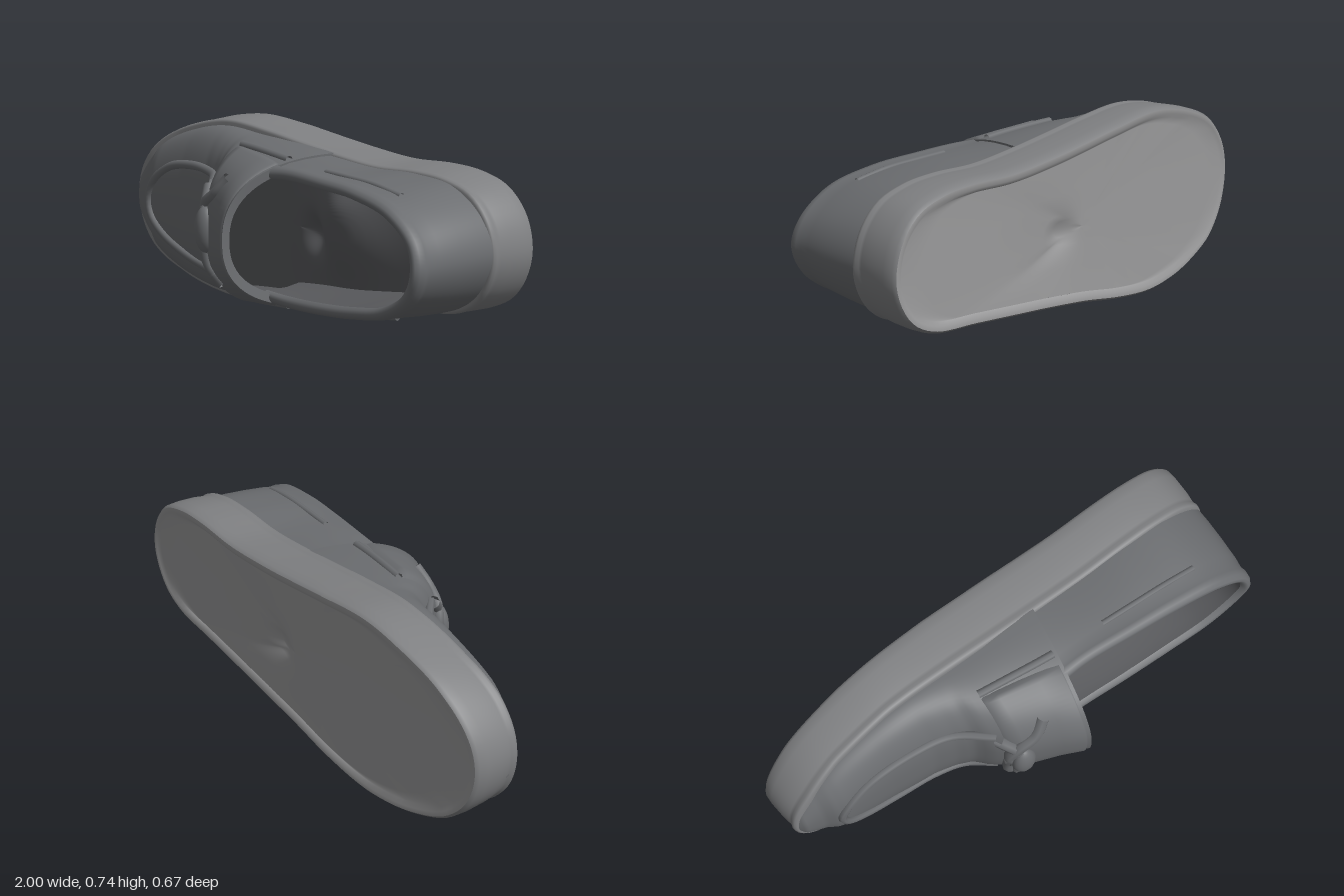
import * as THREE from 'three';

const paint = color => new THREE.MeshStandardMaterial({ color, side: THREE.DoubleSide });
const upperMat = paint(0x6b6d70), soleMat = paint(0x808183), outsoleMat = paint(0x9a9a9b), liningMat = paint(0x5a5b5e);

// Surface from a rule f(i, j) -> [x, y, z]; loop closes it in i
function grid(nu, nv, f, loop = false) {
  const pos = [], idx = [], cols = loop ? nu : nu + 1;
  for (let j = 0; j <= nv; j++) for (let i = 0; i < cols; i++) pos.push(...f(i, j));
  for (let j = 0; j < nv; j++) for (let i = 0; i < nu; i++) {
    const a = j * cols + i, b = j * cols + (i + 1) % cols, c = a + cols, d = b + cols;
    idx.push(a, b, d, a, d, c);
  }
  const g = new THREE.BufferGeometry();
  g.setAttribute('position', new THREE.Float32BufferAttribute(pos, 3));
  g.setIndex(idx);
  g.computeVertexNormals();
  return g;
}

// Linear lookup in [[x, value], ...]
function lookup(table, x) {
  if (x <= table[0][0]) return table[0][1];
  for (let i = 1; i < table.length; i++) {
    const [x0, y0] = table[i - 1], [x1, y1] = table[i];
    if (x <= x1) return y0 + (y1 - y0) * (x - x0) / (x1 - x0);
  }
  return table[table.length - 1][1];
}

const spline = (pts, closed = false) =>
  new THREE.CatmullRomCurve3(pts.map(([x, y, z = 0]) => new THREE.Vector3(x, y, z)), closed, 'centripetal');

// Sole outline, counterclockwise from the toe
const N = 160;
const outline = spline([
  [-1, 0.35], [-0.965, 0.22], [-0.87, 0.115], [-0.7, 0.04], [-0.5, 0.004], [-0.38, 0.004], [-0.2, 0.03], [0, 0.07],
  [0.2, 0.1], [0.4, 0.125], [0.6, 0.15], [0.8, 0.175], [0.91, 0.23], [0.975, 0.32], [0.997, 0.42], [0.965, 0.54],
  [0.88, 0.63], [0.75, 0.67], [0.6, 0.678], [0.4, 0.668], [0.2, 0.68], [0, 0.7], [-0.2, 0.722], [-0.43, 0.736],
  [-0.6, 0.71], [-0.8, 0.64], [-0.91, 0.56], [-0.98, 0.46],
], true).getSpacedPoints(N).slice(0, N);

const normals = outline.map((p, i) => {
  const a = outline[(i + N - 1) % N], b = outline[(i + 1) % N];
  return new THREE.Vector2(b.y - a.y, a.x - b.x).normalize();
});

const soleBottom = x => lookup([[-1, -0.27], [-0.85, -0.295], [-0.6, -0.318], [-0.2, -0.337], [0.1, -0.34], [1, -0.33]], x);
const soleTop = x => lookup([[-1, -0.08], [-0.9, -0.085], [-0.75, -0.11], [-0.5, -0.125], [1, -0.12]], x);
const bump = (x, y, cx, cy, r) => Math.exp(-((x - cx) ** 2 + (y - cy) ** 2) / (r * r));

// Centre and half width of the upper at x
function span(x) {
  let lo = 9, hi = -9;
  outline.forEach((p, i) => {
    const q = outline[(i + 1) % N];
    if ((p.x - x) * (q.x - x) > 0 || p.x === q.x) return;
    const y = p.y + (q.y - p.y) * (x - p.x) / (q.x - p.x);
    lo = Math.min(lo, y); hi = Math.max(hi, y);
  });
  return [(lo + hi) / 2, (hi - lo) / 2 - 0.03 + 0.013 * THREE.MathUtils.smoothstep(x, -0.3, 0)];
}

// Arched cross-section of the vamp
const BASE = -0.14, P = 2.4;
const crown = x => lookup([
  [-0.98, -0.085], [-0.955, -0.06], [-0.88, -0.043], [-0.84, -0.018], [-0.8, -0.008], [-0.6, 0.005], [-0.42, 0.028],
  [-0.34, 0.055], [-0.28, 0.09], [-0.24, 0.145], [-0.18, 0.2], [-0.1, 0.232], [0, 0.288], [0.075, 0.335],
], x);
function vampPoint(x, s, off = 0) {
  const [c, w] = span(x), a = s * Math.PI / 2, sn = Math.sin(a);
  const h = Math.pow(Math.max(0, Math.cos(a)), 2 / P);
  const slant = 0.09 * (1 - h) * THREE.MathUtils.smoothstep(x, -0.2, 0.07);
  return [x + slant, c + (w + off) * Math.sign(sn) * Math.pow(Math.abs(sn), 2 / P), BASE + (crown(x) - BASE + off) * h];
}
function onVamp(x, y, lift = 0) {
  const [c, w] = span(x), f = Math.min(1, Math.abs(y - c) / w);
  return [x, y, BASE + (crown(x) - BASE) * Math.pow(1 - Math.pow(f, P), 1 / P) + lift];
}

export function createModel() {
  const group = new THREE.Group();
  const add = (name, geo, mat = upperMat) => {
    const m = new THREE.Mesh(geo, mat);
    m.name = name;
    group.add(m);
    return m;
  };
  const cord = (name, pts, r) => add(name, new THREE.TubeGeometry(spline(pts), 64, r, 8));

  // Rings of the sole: [scale, inset, height fraction]
  const soleRing = ([s, inset, k], i) => {
    const p = outline[i], n = normals[i];
    const x = (p.x - n.x * inset) * s, y = 0.37 + (p.y - n.y * inset - 0.37) * s;
    return [x, y, THREE.MathUtils.lerp(soleBottom(x), soleTop(x), k)];
  };

  // Outsole, recessed inside its lip and dented under the instep
  const under = [
    [0.001, 0, 0.08], [0.06, 0, 0.08], [0.13, 0, 0.08], [0.22, 0, 0.08], [0.5, 0, 0.07], [0.85, 0, 0.06],
    [1, 0.045, 0.05], [1, 0.03, 0], [1, 0.012, 0],
  ];
  add('outsole', grid(N, under.length - 1, (i, j) => {
    const [x, y, z] = soleRing(under[j], i);
    return [x, y, z + 0.035 * bump(x, y, 0.12, 0.36, 0.07)];
  }, true), outsoleMat);

  // Sole edge with a soft welt
  const edge = [
    [1, 0.012, 0], [1, 0.002, 0.06], [1, 0, 0.25], [1, 0.004, 0.6], [1, 0.01, 0.78],
    [1, 0.011, 0.84], [1, 0.006, 0.9], [1, 0.009, 0.96], [1, 0.018, 1], [1, 0.05, 1],
  ];
  add('soleEdge', grid(N, edge.length - 1, (i, j) => soleRing(edge[j], i), true), soleMat);

  // Insole, lower at the heel, swelling unevenly under the instep
  add('insole', grid(N, 24, (i, j) => {
    const [x, y, z] = soleRing([1 - j / 24.02, 0.05, 1], i);
    return [x, y, z + 0.1 * bump(x, y, 0.3, 0.42, 0.22) + 0.03 * bump(x, y, 0.3, 0.52, 0.08)
      - 0.06 * bump(x, y, 0.11, 0.36, 0.07)];
  }, true), liningMat);

  // Vamp and its lining
  const vampX = t => -0.98 + 1.055 * t;
  add('vamp', grid(80, 40, (i, j) => vampPoint(vampX(Math.pow(i / 80, 1.25)), j / 20 - 1)));
  add('vampLining', grid(30, 40, (i, j) => vampPoint(0.075 - 0.42 * i / 30, j / 20 - 1, -0.035)), liningMat);
  add('tongueEdge', grid(2, 40, (i, j) => vampPoint(0.075, j / 20 - 1, -0.0175 * i)));

  // Strap laid across the vamp, its edges tucked down on every side
  const strap = [[-0.21, -0.01], [-0.19, 0.01], [-0.15, 0.016], [-0.02, 0.012], [0.055, 0.008], [0.07, -0.01]];
  add('strap', grid(strap.length - 1, 40, (i, j) => {
    const s = (j / 20 - 1) * 0.74;
    return vampPoint(strap[i][0], s, Math.abs(j - 20) === 20 ? -0.01 : strap[i][1]);
  }));

  // Raised apron seam
  cord('apronSeam', [
    [-0.2, 0.15], [-0.3, 0.14], [-0.42, 0.145], [-0.58, 0.175], [-0.73, 0.235], [-0.805, 0.3], [-0.825, 0.37],
    [-0.785, 0.45], [-0.68, 0.52], [-0.5, 0.55], [-0.35, 0.545], [-0.22, 0.54],
  ].map(([x, y]) => onVamp(x, y)), 0.018);

  // Knot and trailing lace ends
  const laces = [
    [[-0.05, 0.59], [-0.1, 0.53], [-0.17, 0.48], [-0.2, 0.41], [-0.16, 0.34]],
    [[-0.22, 0.53], [-0.17, 0.45], [-0.18, 0.34], [-0.17, 0.24], [-0.11, 0.17]],
    [[-0.2, 0.37], [-0.2, 0.28], [-0.14, 0.2]],
  ];
  laces.forEach((l, k) => cord('lace' + (k + 1), l.map(([x, y]) => onVamp(x, y, 0.012)), 0.025));
  const knot = add('knot', new THREE.SphereGeometry(1, 20, 14));
  knot.scale.set(0.05, 0.09, 0.04);
  knot.position.set(...onVamp(-0.16, 0.38, 0.015));

  // Side and heel wall, rolled over the collar and down the inside
  const M = 90;
  const foot = spline([
    [-0.02, 0.085], [0.2, 0.118], [0.4, 0.142], [0.6, 0.166], [0.8, 0.195], [0.925, 0.28], [0.985, 0.42],
    [0.94, 0.545], [0.8, 0.642], [0.6, 0.662], [0.4, 0.652], [0.2, 0.663], [-0.02, 0.682],
  ]);
  const collar = spline([
    [0.08, 0.135, 0.14], [0.2, 0.132, 0.14], [0.4, 0.148, 0.16], [0.6, 0.176, 0.18], [0.78, 0.22, 0.2], [0.91, 0.305, 0.212],
    [0.957, 0.41, 0.222], [0.925, 0.51, 0.212], [0.8, 0.6, 0.2], [0.6, 0.64, 0.18], [0.4, 0.648, 0.16],
    [0.2, 0.648, 0.14], [0.08, 0.635, 0.14],
  ]);
  // Wall profile: [height fraction, inward offset]
  const wall = [
    [0, 0], [0.2, -0.004], [0.45, -0.005], [0.7, -0.003], [0.82, 0.002], [0.88, -0.004], [0.95, -0.002],
    [0.99, 0.008], [1, 0.02], [0.985, 0.034], [0.93, 0.042], [0.8, 0.04], [0.4, 0.045], [0.02, 0.06],
  ];
  const wallGrid = (first, last) => grid(M, last - first, (i, j) => {
    const [h, inset] = wall[first + j], u = i / M;
    const a = foot.getPoint(u), b = collar.getPoint(u), t = collar.getTangent(u);
    const p = a.lerp(b, h), len = Math.hypot(t.x, t.y);
    return [p.x - t.y / len * inset, p.y + t.x / len * inset, THREE.MathUtils.lerp(BASE, b.z, h)];
  });
  add('quarter', wallGrid(0, 10));
  add('quarterLining', wallGrid(10, wall.length - 1), liningMat);

  // Side seams and strap ends on both flanks
  for (const side of [-1, 1]) {
    const along = x => {
      const u = 0.5 + side * THREE.MathUtils.lerp(0.36, 0.19, (x - 0.38) / 0.36);
      const b = collar.getPoint(u), p = foot.getPoint(u).lerp(b, 0.68);
      return [p.x, p.y, THREE.MathUtils.lerp(BASE, b.z, 0.68)];
    };
    const where = side > 0 ? 'upper' : 'lower';
    cord(where + 'SideSeam', [0.38, 0.5, 0.62, 0.74].map(along), 0.012);
    cord(where + 'StrapEnd', [-0.2, -0.1, 0, 0.06].map((x, k) => vampPoint(x, side * (0.75 + 0.012 * k))), 0.016);
  }
  return group;
}
